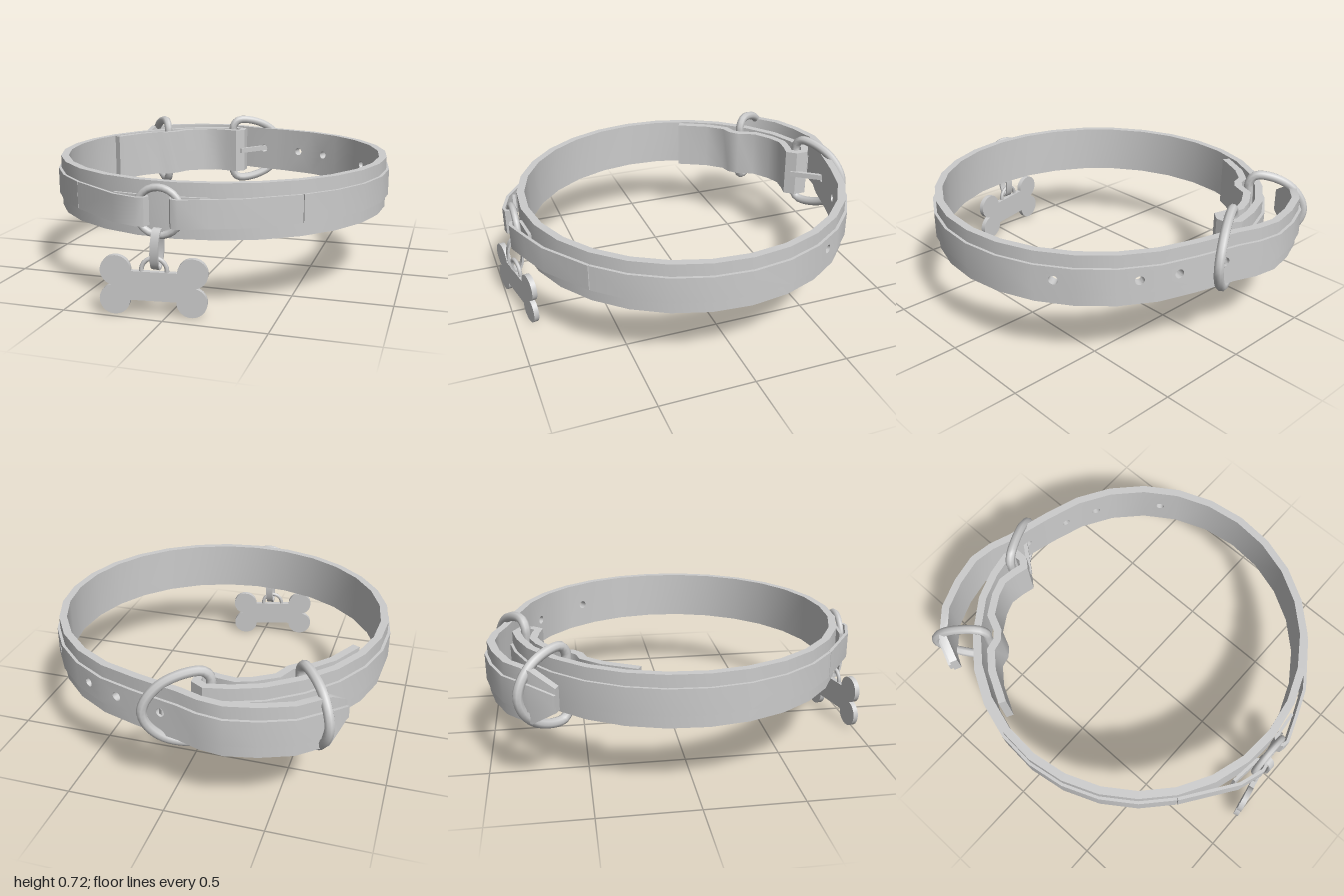
import * as THREE from 'three';
import { mergeGeometries, toCreasedNormals } from 'three/addons/utils/BufferGeometryUtils.js';

const MID = 0.503; // height of the strap centreline
const mat = new THREE.MeshStandardMaterial({ color: 0xcccccc });

function mesh(name, geo, x = 0, y = 0, z = 0) {
  const m = new THREE.Mesh(geo, mat);
  m.name = name;
  m.position.set(x, y, z);
  return m;
}

// Mitred sideways direction at every point of an [x, z] path
function mitres(path) {
  const normals = path.slice(1).map(([x, z], i) =>
    new THREE.Vector2(z - path[i][1], path[i][0] - x).normalize());
  return path.map((p, i) => {
    const a = normals[Math.max(i - 1, 0)];
    const b = normals[Math.min(i, normals.length - 1)];
    return a.clone().add(b).divideScalar(Math.max(1 + a.dot(b), 0.6));
  });
}

// Upright strap along a path, between two sideways offsets; chosen segments get a punched hole
function strap(name, path, outer, inner, halfHeight, { tip = halfHeight, holes = [] } = {}) {
  const m = mitres(path);
  const height = i => (i === 0 ? tip : halfHeight);
  const lerp = THREE.MathUtils.lerp;
  const panels = [];
  for (let i = 0; i < path.length - 1; i++) {
    const [p, q] = [path[i], path[i + 1]];
    const shape = new THREE.Shape();
    shape.moveTo(0, -1).lineTo(1, -1).lineTo(1, 1).lineTo(0, 1).closePath();
    if (holes.includes(i)) {
      const len = Math.hypot(q[0] - p[0], q[1] - p[1]);
      const hole = new THREE.Path();
      hole.absellipse(0.5, 0, 0.023 / len, 0.023 / halfHeight, 0, Math.PI * 2, true);
      shape.holes.push(hole);
    }
    const g = new THREE.ExtrudeGeometry(shape, { depth: 1, bevelEnabled: false, curveSegments: 10 });
    const pos = g.attributes.position;
    for (let k = 0; k < pos.count; k++) {
      const u = pos.getX(k);
      const off = lerp(outer, inner, pos.getZ(k));
      pos.setXYZ(k,
        lerp(p[0] + m[i].x * off, q[0] + m[i + 1].x * off, u),
        MID + pos.getY(k) * lerp(height(i), height(i + 1), u),
        lerp(p[1] + m[i].y * off, q[1] + m[i + 1].y * off, u));
    }
    panels.push(g);
  }
  return mesh(name, toCreasedNormals(mergeGeometries(panels), 0.6));
}

// D-shaped wire ring standing upright: straight bar at "from", bow reaching "to"
function dRing(name, from, to) {
  const d = new THREE.Vector2(to[0] - from[0], to[1] - from[1]);
  const half = [[0, 0.08], [0, 0.15], [0.1, 0.187], [0.35, 0.187], [0.7, 0.145], [0.93, 0.07]];
  const outline = [...half, [1, 0], ...half.map(([s, y]) => [s, -y]).reverse()];
  const pts = outline.map(([s, y]) =>
    new THREE.Vector3(from[0] + d.x * s, MID + y, from[1] + d.y * s));
  const curve = new THREE.CatmullRomCurve3(pts, true);
  return mesh(name, new THREE.TubeGeometry(curve, 48, 0.025, 8, true));
}

// Bone outline: four round lobes joined by a straight bar
function boneShape() {
  const [x, y, r, notch] = [0.18, 0.07, 0.072, 1.335];
  const s = new THREE.Shape();
  s.absarc(x, y, r, -notch, Math.PI);
  s.absarc(-x, y, r, 0, Math.PI + notch);
  s.absarc(-x, -y, r, Math.PI - notch, Math.PI * 2);
  s.absarc(x, -y, r, Math.PI, Math.PI * 2 + notch);
  return s;
}

export function createModel() {
  const group = new THREE.Group();

  // Path of the belt: free tail, round the neck, then folded back through the buckle
  const tail = [[-0.77, -0.64], [-0.72, -0.75], [-0.59, -0.865], [-0.44, -0.925],
    [-0.29, -0.957], [-0.17, -0.94], [-0.06, -0.9], [0.1, -0.86]];
  const SEG = 24;
  const loop = [];
  for (let k = 0; k <= SEG; k++) {
    const a = 0.2 + (5.36 * k) / SEG;
    loop.push([0.868 * Math.sin(a), 0.01 - 0.868 * Math.cos(a)]);
  }
  const toBuckle = [[-0.42, -0.755], [-0.28, -0.81], [-0.16, -0.835]];
  const flap = [[-0.11, -0.805], [-0.11, -0.755], [-0.14, -0.72], [-0.2, -0.735], [-0.28, -0.745],
    [-0.36, -0.715], [-0.46, -0.65], [-0.5, -0.56], [-0.54, -0.525], [-0.6, -0.51],
    [-0.68, -0.42], [-0.765, -0.26]];
  const T = tail.length;
  const holes = [T - 2, T, T + 1, T + 3];
  group.add(strap('belt', [...tail, ...loop, ...toBuckle, ...flap], 0.02, -0.02, 0.133,
    { tip: 0.06, holes }));

  // Narrow overlay lying on the outside of the belt
  group.add(strap('rightOverlay', [...tail, ...loop.slice(0, 11)], 0.035, 0.019, 0.068,
    { tip: 0.03, holes }));
  group.add(strap('leftOverlay', [...loop.slice(16), ...toBuckle], 0.035, 0.019, 0.068));

  // Overlay ends folded around the front ring
  group.add(strap('frontFoldLeft', [[0.583, 0.69], [0.35, 0.855], [0.2, 0.915], [0.07, 0.963],
    [0.04, 0.957], [0.026, 0.93], [0.045, 0.905], [0.2, 0.89]], 0.008, -0.008, 0.068));
  group.add(strap('frontFoldRight', [[-0.529, 0.733], [-0.26, 0.92], [-0.13, 0.963],
    [-0.1, 0.957], [-0.09, 0.93], [-0.11, 0.905], [-0.27, 0.885]], 0.008, -0.008, 0.068));

  // Buckle, keeper ring and prong
  group.add(dRing('buckleRing', [-0.175, -0.785], [0.11, -0.94]));
  group.add(dRing('keeperRing', [-0.555, -0.59], [-0.74, -0.82]));
  const prong = mesh('prong', new THREE.BoxGeometry(0.022, 0.03, 0.23), -0.04, MID, -0.815);
  prong.rotation.y = Math.atan2(-0.14, 0.18);
  group.add(prong);

  // Front ring with the hanging link
  group.add(mesh('frontRing', new THREE.TorusGeometry(0.112, 0.018, 8, 28), -0.035, MID, 0.93));
  const link = new THREE.Shape();
  link.absellipse(0, 0, 0.044, 0.1, 0, Math.PI * 2);
  const opening = new THREE.Path();
  opening.absellipse(0, 0, 0.032, 0.088, 0, Math.PI * 2, true);
  link.holes.push(opening);
  const linkGeo = new THREE.ExtrudeGeometry(link, { depth: 0.04, bevelEnabled: false, curveSegments: 24 });
  linkGeo.translate(0, 0, -0.02);
  const hanger = mesh('hangingLink', toCreasedNormals(linkGeo, 0.6), -0.04, 0.33, 0.943);
  hanger.rotation.set(0, Math.PI / 2, -0.05, 'ZYX');
  group.add(hanger);

  // Bone-shaped tag and its small ring
  const tag = new THREE.Group();
  tag.name = 'boneTag';
  tag.position.set(-0.058, 0.15, 0.945);
  tag.rotation.set(0, 0.2, -0.03);
  const boneGeo = new THREE.ExtrudeGeometry(boneShape(), { depth: 0.028, bevelEnabled: false, curveSegments: 14 });
  boneGeo.translate(0, 0, -0.014);
  tag.add(mesh('bone', toCreasedNormals(boneGeo, 0.6)));
  tag.add(mesh('tagRing', new THREE.TorusGeometry(0.06, 0.011, 8, 20), 0, 0.075, 0));
  group.add(tag);

  return group;
}
